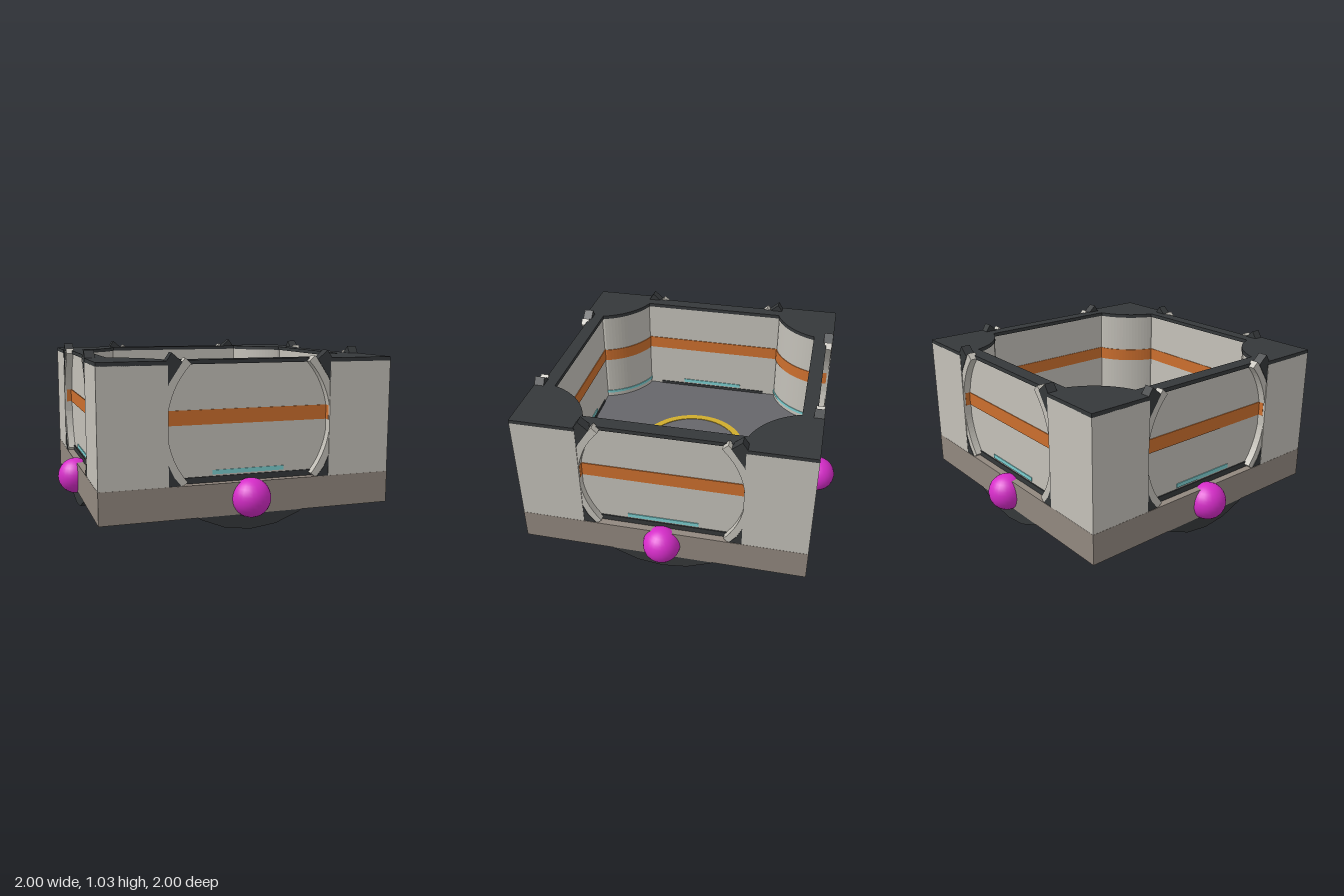
import * as THREE from 'three';

const H = 0.885; // half width of the shell
const mat = (color) => new THREE.MeshStandardMaterial({ color });
const M = {
  light: mat(0xc4c1b9), dark: mat(0x35383a), brown: mat(0x92887f), floor: mat(0x66666a),
  orange: mat(0xcc6f2e), cyan: mat(0x7ccfd0), pink: mat(0xd52cc8), yellow: mat(0xd0ac2c), grey: mat(0x858585),
};
const rad = THREE.MathUtils.degToRad;

function add(group, name, geo, material, x = 0, y = 0, z = 0) {
  const m = new THREE.Mesh(geo, material);
  m.name = name;
  m.position.set(x, y, z);
  group.add(m);
  return m;
}

// box given by its limits
function box(group, name, material, x0, x1, y0, y1, z0, z1) {
  return add(group, name, new THREE.BoxGeometry(x1 - x0, y1 - y0, z1 - z0), material,
    (x0 + x1) / 2, (y0 + y1) / 2, (z0 + z1) / 2);
}

// part of a flat ring, extruded along z
function arcBand(r0, r1, a0, a1, depth, curveSegments) {
  const s = new THREE.Shape();
  s.absarc(0, 0, r1, rad(a0), rad(a1), false);
  s.absarc(0, 0, r0, rad(a1), rad(a0), true);
  s.closePath();
  return new THREE.ExtrudeGeometry(s, { depth, bevelEnabled: false, curveSegments });
}

// corner column footprint with a rounded inner face, between two heights
function column(y0, y1, r = 0.42, outer = H, side = 0.49) {
  const s = new THREE.Shape();
  s.moveTo(outer, outer);
  s.lineTo(outer, side);
  s.absarc(H, H, r, 1.5 * Math.PI - 0.33, Math.PI + 0.33, true);
  s.lineTo(side, outer);
  s.closePath();
  const g = new THREE.ExtrudeGeometry(s, { depth: y1 - y0, bevelEnabled: false, curveSegments: 8 });
  return g.rotateX(Math.PI / 2).translate(0, y1, 0);
}

// one wall with its right-hand corner; four of these close the shell
function createSide() {
  const g = new THREE.Group();
  // corner column, its cap and bands
  add(g, 'cornerColumn', column(0.28, 0.968), M.light);
  add(g, 'cornerCap', column(0.966, 0.99, 0.424), M.dark);
  add(g, 'columnStripe', column(0.625, 0.71, 0.425, 0.87, 0.488), M.orange);
  add(g, 'columnLight', column(0.335, 0.355, 0.425, 0.87, 0.488), M.cyan);
  // recessed wall panel with trim on both faces
  box(g, 'wallPanel', M.light, -0.5, 0.5, 0.28, 0.968, 0.765, 0.835);
  box(g, 'topRail', M.dark, -0.5, 0.5, 0.966, 0.99, 0.755, 0.842);
  box(g, 'wallStripe', M.orange, -0.495, 0.495, 0.625, 0.71, 0.76, 0.84);
  box(g, 'wallLight', M.cyan, -0.22, 0.22, 0.335, 0.36, 0.76, 0.84);
  box(g, 'panelSill', M.dark, -0.4, 0.4, 0.29, 0.325, 0.76, 0.842);
  // round opening: pale lining and dark outer hoop, open at the top
  for (const a of [0, 180]) {
    const tilt = a ? -2 : 2;
    add(g, 'openingLining', arcBand(0.495, 0.542, a - 42 + tilt, a + 42 + tilt, 0.05, 12), M.light, 0, 0.628, 0.83);
  }
  add(g, 'hoop', arcBand(0.54, 0.62, 139, 401, 0.06, 9), M.dark, 0, 0.628, 0.823);
  // side knob
  add(g, 'sideKnob', new THREE.SphereGeometry(0.115, 24, 16), M.pink, 0, 0.195, H);
  return g;
}

export function createModel() {
  const model = new THREE.Group();
  model.name = 'openRoom';

  // base and floor
  box(model, 'base', M.brown, -H - 0.001, H + 0.001, 0.1, 0.29, -H - 0.001, H + 0.001);
  box(model, 'floor', M.floor, -0.77, 0.77, 0.28, 0.305, -0.77, 0.77);

  for (let i = 0; i < 4; i++) {
    const side = createSide();
    side.name = 'wall' + ['Front', 'Left', 'Back', 'Right'][i];
    side.rotation.y = i * Math.PI / 2;
    model.add(side);
  }

  // floor markings
  const ring = arcBand(0.315, 0.36, 0, 360, 0.005, 24).rotateX(-Math.PI / 2);
  add(model, 'floorRing', ring, M.yellow, 0, 0.304, 0);
  const disc = (name, r, y, m) => add(model, name, new THREE.CylinderGeometry(r, r, 0.02, 32), m, 0, y, 0);
  disc('hubEdge', 0.12, 0.298, M.dark);
  disc('hubPlate', 0.112, 0.301, M.grey);
  disc('hubButton', 0.08, 0.304, M.pink);

  // knob under the base
  const knob = add(model, 'bottomKnob', new THREE.SphereGeometry(0.14, 24, 16), M.pink, 0, 0.1, 0);
  knob.scale.y = 0.25;
  return model;
}
